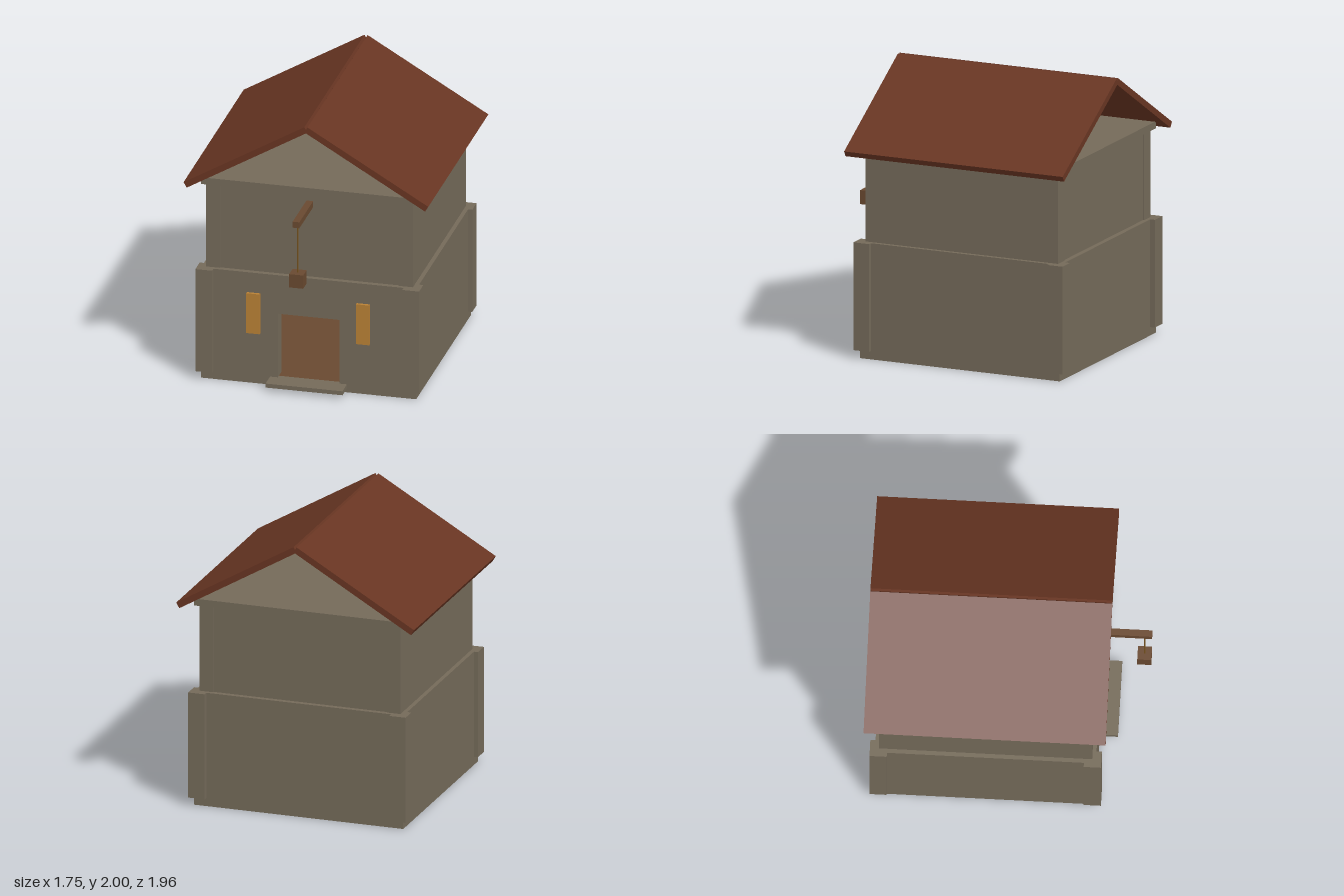
import * as THREE from 'three';

const CZ = -0.137; // centre of the building in z

export function createModel() {
  const mat = (name, color) => {
    const m = new THREE.MeshStandardMaterial({ color });
    m.name = name;
    return m;
  };
  const stone = mat('stone', 0x746a59);
  const roofTile = mat('roof tile', 0x683522);
  const wood = mat('wood', 0x694930);
  const amber = mat('amber glass', 0xb88035);
  const ropeFibre = mat('rope fibre', 0x7a5520);

  const house = new THREE.Group();
  house.name = 'house';

  // Box given by its lower and upper limits on each axis
  const box = (name, material, [x0, x1], [y0, y1], [z0, z1], parent = house) => {
    const mesh = new THREE.Mesh(new THREE.BoxGeometry(x1 - x0, y1 - y0, z1 - z0), material);
    mesh.position.set((x0 + x1) / 2, (y0 + y1) / 2, (z0 + z1) / 2);
    mesh.name = name;
    parent.add(mesh);
    return mesh;
  };

  // Plinth with a wooden floor, and the door step
  box('plinth', [stone, stone, wood, wood, stone, stone],
    [-0.77, 0.77], [0, 0.06], [CZ - 0.767, CZ + 0.767]);
  box('doorStep', stone, [-0.275, 0.275], [0.03, 0.06], [0.6, 0.757]);

  // Ground storey: front wall with doorway cut out
  const front = new THREE.Shape([
    [-0.77, 0.06], [-0.22, 0.06], [-0.22, 0.54], [0.22, 0.54],
    [0.22, 0.06], [0.77, 0.06], [0.77, 0.83], [-0.77, 0.83],
  ].map(([x, y]) => new THREE.Vector2(x, y)));
  const frontWall = new THREE.Mesh(
    new THREE.ExtrudeGeometry(front, { depth: 0.1, bevelEnabled: false }), stone);
  frontWall.position.z = 0.53;
  frontWall.name = 'lowerFrontWall';
  house.add(frontWall);
  box('lowerBackWall', stone, [-0.77, 0.77], [0.06, 0.83], [-0.904, -0.804]);

  for (const s of [-1, 1]) {
    const side = s > 0 ? 'left' : 'right';
    const span = (a, b) => (s > 0 ? [a, b] : [-b, -a]);
    box(side + 'LowerWall', stone, span(0.67, 0.77), [0.06, 0.83], [-0.804, 0.53]);
    box(side + 'UpperWall', stone, span(0.64, 0.74), [0.83, 1.46], [-0.877, 0.603]);
    box(side + 'Window', amber, span(0.345, 0.44), [0.38, 0.68], [0.625, 0.652]);

    // Corner pilasters
    box(side + 'FrontPilaster', stone, span(0.68, 0.8), [0.06, 0.83], [0.547, 0.667]);
    box(side + 'BackPilaster', stone, span(0.68, 0.8), [0.06, 0.83], [-0.94, -0.82]);

    // Roof slab running from the ridge to the eave
    const ridge = new THREE.Vector2(0, 1.979);
    const eave = new THREE.Vector2(0.864 * s, 1.473);
    const slab = new THREE.Mesh(
      new THREE.BoxGeometry(ridge.distanceTo(eave), 0.045, 1.68), roofTile);
    slab.position.set(eave.x / 2, (ridge.y + eave.y) / 2, CZ);
    slab.rotation.z = -s * Math.atan2(ridge.y - eave.y, 0.864);
    slab.name = side + 'RoofSlab';
    house.add(slab);
  }

  // Upper storey, set slightly between the side walls
  box('upperFloor', wood, [-0.67, 0.67], [0.79, 0.83], [-0.804, 0.53]);
  box('upperFrontWall', stone, [-0.73, 0.73], [0.83, 1.46], [0.5, 0.594]);
  box('upperBackWall', stone, [-0.73, 0.73], [0.83, 1.46], [-0.868, -0.774]);
  box('cornice', stone, [-0.77, 0.77], [1.46, 1.51], [CZ - 0.767, CZ + 0.767]);

  // Hoist: beam, rope and hanging crate
  const hoist = new THREE.Group();
  hoist.name = 'hoist';
  house.add(hoist);
  box('hoistBeam', wood, [-0.024, 0.024], [1.355, 1.4], [0.58, 0.98], hoist);
  box('hoistCrate', wood, [-0.05, 0.05], [0.9, 1.0], [0.878, 0.976], hoist);
  const rope = new THREE.Mesh(new THREE.CylinderGeometry(0.006, 0.006, 0.355, 6), ropeFibre);
  rope.position.set(0, 1.1775, 0.927);
  rope.name = 'hoistRope';
  hoist.add(rope);

  return house;
}
